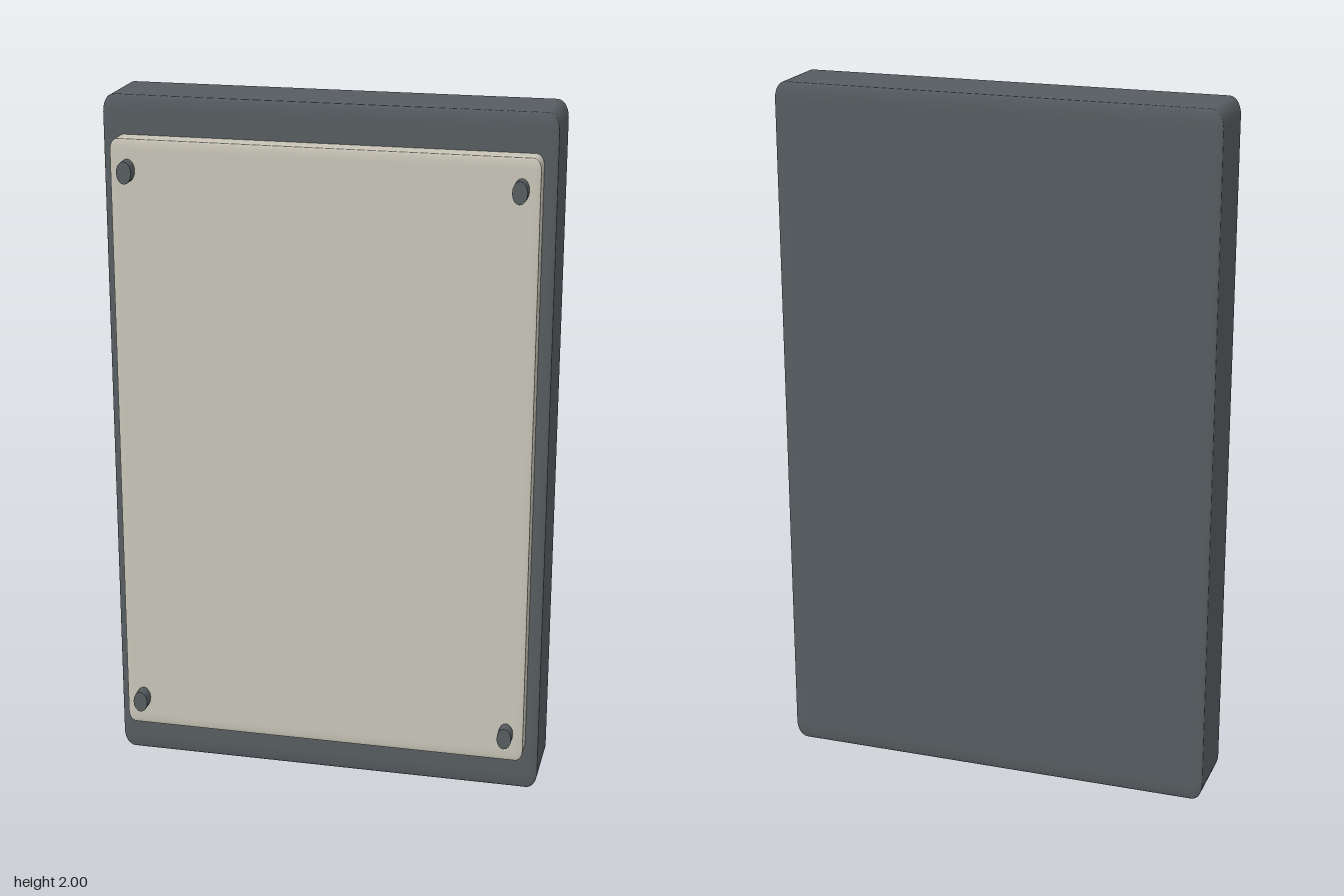
import * as THREE from 'three';
import { RoundedBoxGeometry } from 'three/addons/geometries/RoundedBoxGeometry.js';

// Box between two corners, with its own rounding radius on each axis
function softBox(name, material, min, max, radii) {
  const r = 0.05;
  const scale = radii.map((v) => v / r);
  const size = max.map((v, i) => v - min[i]);
  const geometry = new RoundedBoxGeometry(
    size[0] / scale[0], size[1] / scale[1], size[2] / scale[2], 4, r);
  geometry.scale(...scale);
  geometry.translate(...max.map((v, i) => (v + min[i]) / 2));
  const mesh = new THREE.Mesh(geometry, material);
  mesh.name = name;
  return mesh;
}

export function createModel() {
  const slate = new THREE.MeshStandardMaterial({ color: 0x565c60 });
  slate.name = 'slate grey';
  const cream = new THREE.MeshStandardMaterial({ color: 0xc8c4b7 });
  cream.name = 'warm cream';

  const model = new THREE.Group();
  model.name = 'wallPanel';

  // Backing slab and raised front plate
  model.add(softBox('backSlab', slate, [-0.632, 0, -0.153], [0.632, 2, 0.055], [0.032, 0.05, 0.008]));
  model.add(softBox('frontPlate', cream, [-0.595, 0.117, 0.04], [0.595, 1.89, 0.116], [0.022, 0.032, 0.005]));

  // Oval studs near the plate corners
  const studGeometry = new THREE.CylinderGeometry(1, 1, 0.06, 16);
  studGeometry.rotateX(Math.PI / 2);
  studGeometry.scale(0.021, 0.032, 1);
  for (const x of [-0.545, 0.545]) {
    for (const y of [0.203, 1.803]) {
      const stud = new THREE.Mesh(studGeometry, slate);
      stud.name = `${y > 1 ? 'upper' : 'lower'}${x > 0 ? 'Left' : 'Right'}Stud`;
      stud.position.set(x, y, 0.123);
      model.add(stud);
    }
  }
  return model;
}
